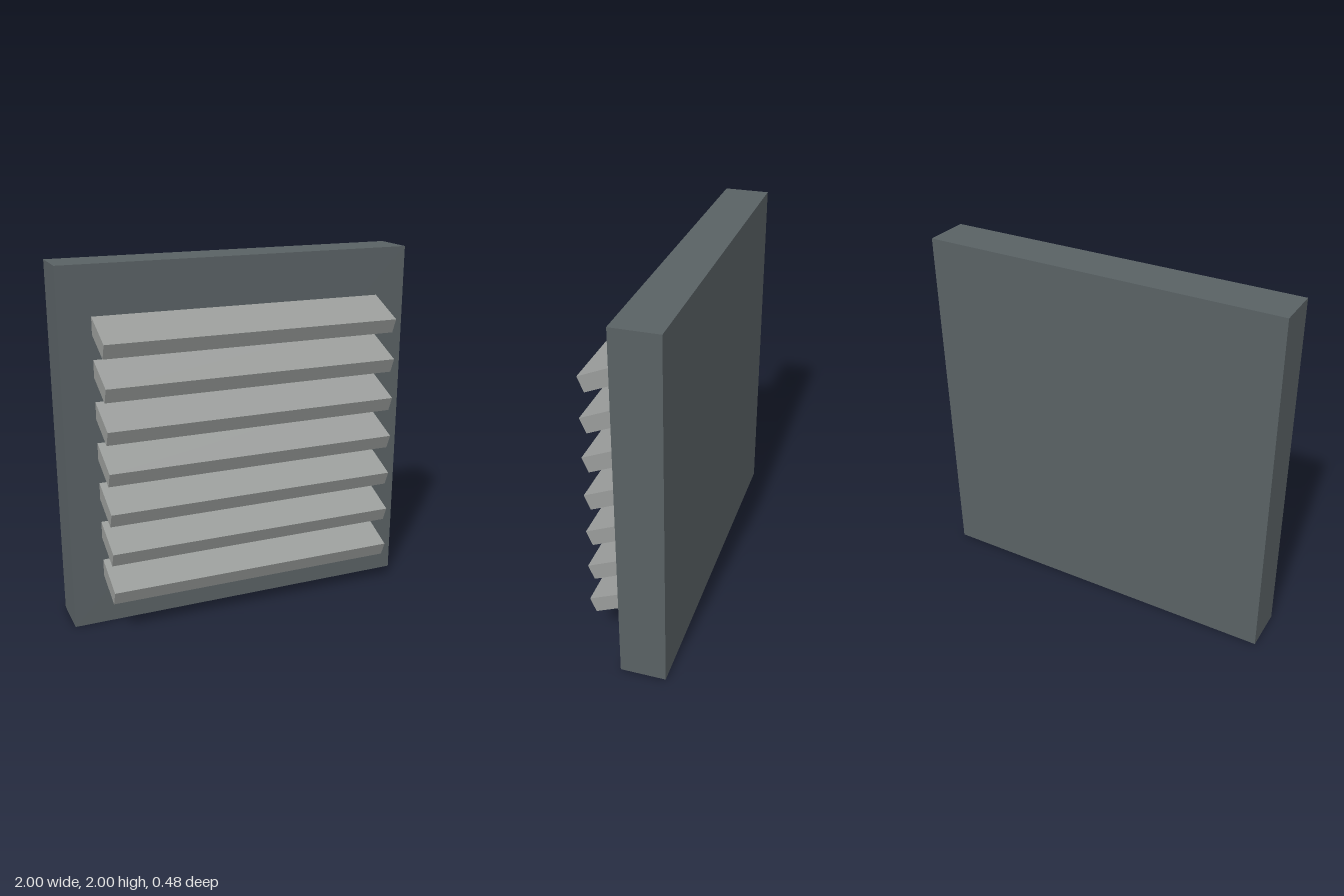
import * as THREE from 'three';

export function createModel() {
  const model = new THREE.Group();
  model.name = 'louvredVent';
  const frameMat = new THREE.MeshStandardMaterial({ color: 0x596164 });
  const slatMat = new THREE.MeshStandardMaterial({ color: 0x999c9a });

  // Solid back panel
  const panel = new THREE.Mesh(new THREE.BoxGeometry(2, 2, 0.25), frameMat);
  panel.name = 'backPanel';
  panel.position.set(0, 1, -0.115);
  model.add(panel);

  // Slats: origin on the outer top edge, inner end buried in the panel
  const thickness = 0.087, depth = 0.36, tilt = 0.405;
  const slatGeo = new THREE.BoxGeometry(1.65, thickness, depth);
  slatGeo.translate(0, -thickness / 2, -depth / 2);
  const count = 7, lowest = 0.283, spacing = 0.2255;
  for (let i = 0; i < count; i++) {
    const slat = new THREE.Mesh(slatGeo, slatMat);
    slat.name = `slat${i + 1}`;
    slat.position.set(0, lowest + i * spacing, 0.24);
    slat.rotation.x = tilt;
    model.add(slat);
  }
  return model;
}
